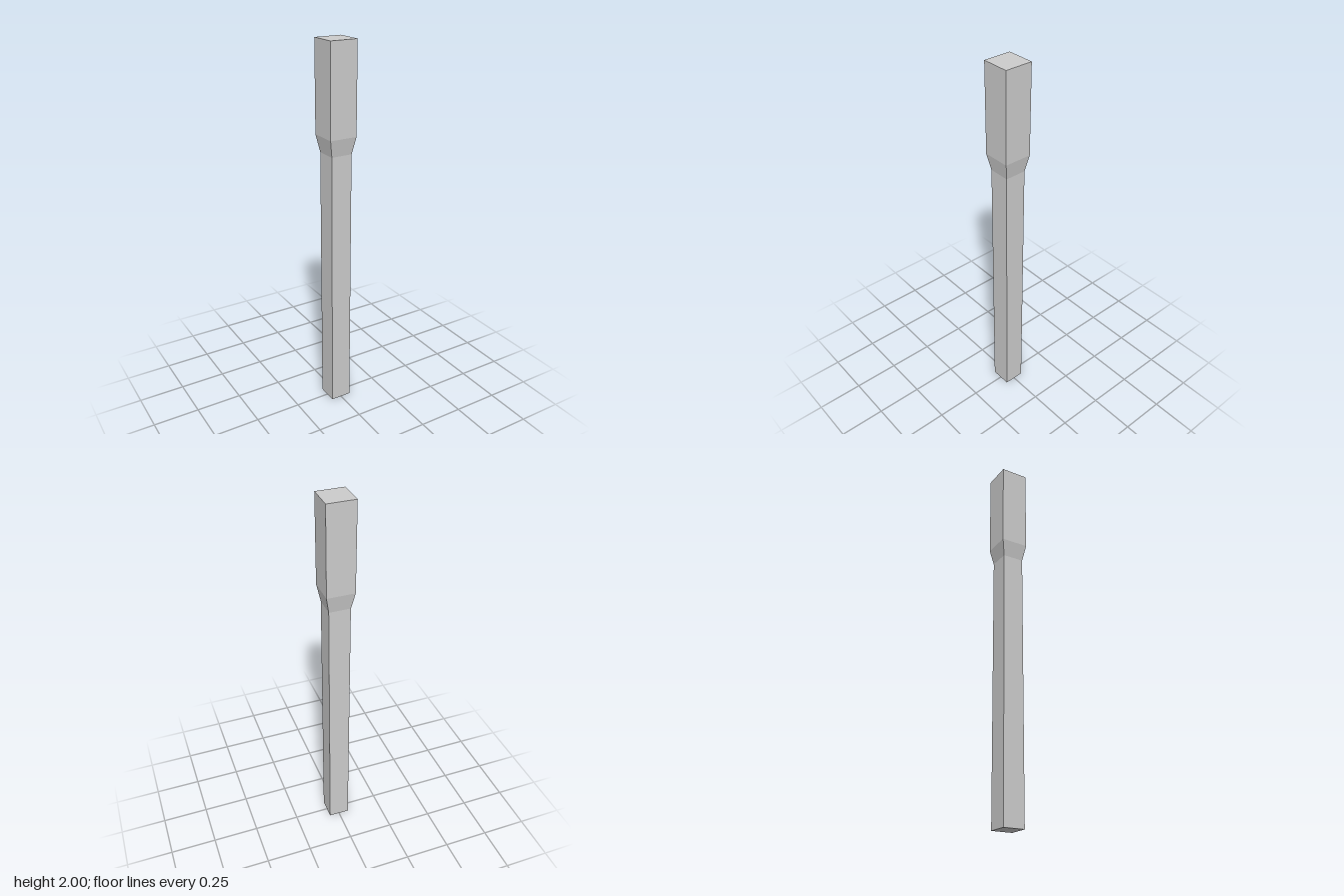
import * as THREE from 'three';

export function createModel() {
  const group = new THREE.Group();
  group.name = 'squarePost';
  const material = new THREE.MeshStandardMaterial({ color: 0xcccccc, flatShading: true });

  // Half-width and height up the post: slim shaft, flared collar, wider head
  const profile = [[0, 0], [0.057, 0], [0.057, 1.44], [0.074, 1.53], [0.074, 2], [0, 2]];

  // Four-sided lathe turned so its flat sides face the axes
  const points = profile.map(([half, y]) => new THREE.Vector2(half * Math.SQRT2, y));
  const post = new THREE.Mesh(new THREE.LatheGeometry(points, 4, Math.PI / 4), material);
  post.name = 'post';
  group.add(post);
  return group;
}
